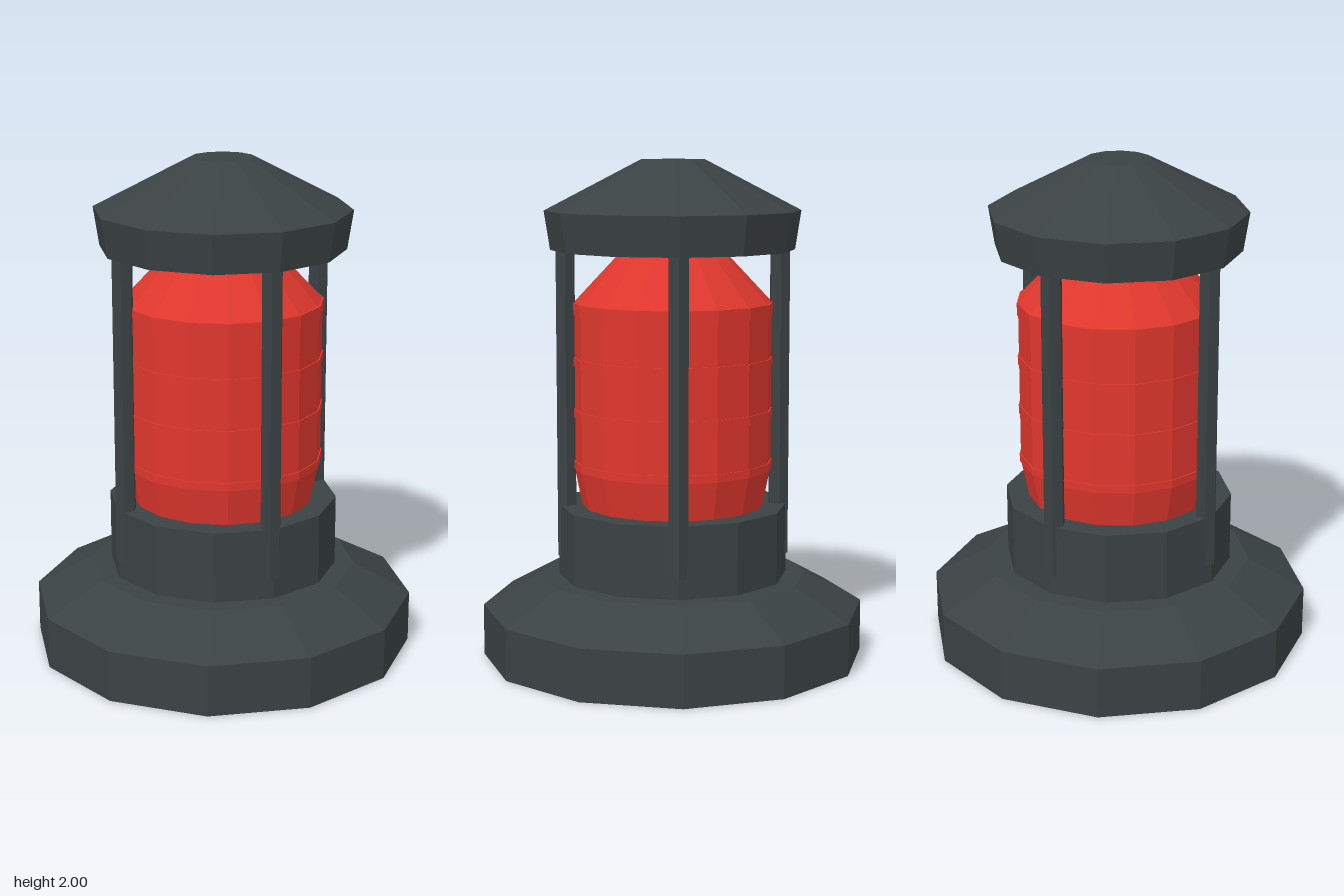
import * as THREE from 'three';

const metal = new THREE.MeshStandardMaterial({ color: 0x3b4244, flatShading: true });
const redGlass = new THREE.MeshStandardMaterial({ color: 0xdf372d, flatShading: true });

// Faceted solid of revolution; profile of [radius, y] runs from bottom to top
function turned(name, profile, sides, material) {
  const points = profile.map(([r, y]) => new THREE.Vector2(r, y));
  const mesh = new THREE.Mesh(new THREE.LatheGeometry(points, sides), material);
  mesh.name = name;
  return mesh;
}

export function createModel() {
  const lantern = new THREE.Group();
  lantern.name = 'lantern';

  // Wide foot with a sloped shoulder
  lantern.add(turned('base', [[0, 0], [0.77, 0], [0.77, 0.207], [0.54, 0.333], [0, 0.333]], 12, metal));

  // Collar that holds the glass
  lantern.add(turned('collar', [[0.461, 0.333], [0.461, 0.62], [0, 0.62]], 12, metal));

  // Glass body, narrowing at both ends
  lantern.add(turned('glass', [
    [0.355, 0.58], [0.366, 0.62], [0.397, 0.775], [0.397, 1.435], [0.2, 1.645], [0.15, 1.7],
  ], 16, redGlass));

  // Slim raised bands around the glass
  [[0.772, 0.804], [0.979, 1.014], [1.185, 1.22], [1.388, 1.437]].forEach(([low, high]) => {
    lantern.add(turned('glassBand', [[0.385, low], [0.402, low], [0.402, high], [0.385, high]], 16, redGlass));
  });

  // Four hexagonal guard posts
  const postGeometry = new THREE.CylinderGeometry(0.043, 0.043, 1.26, 6);
  postGeometry.rotateY(Math.PI / 6);
  for (let i = 0; i < 4; i++) {
    const angle = i * Math.PI / 2;
    const post = new THREE.Mesh(postGeometry, metal);
    post.name = 'post';
    post.position.set(0.428 * Math.sin(angle), 1.043, 0.428 * Math.cos(angle));
    lantern.add(post);
  }

  // Roof with a flared rim and flat tip
  lantern.add(turned('roof', [[0, 1.645], [0.487, 1.645], [0.511, 1.8], [0.127, 2], [0, 2]], 12, metal));

  return lantern;
}
